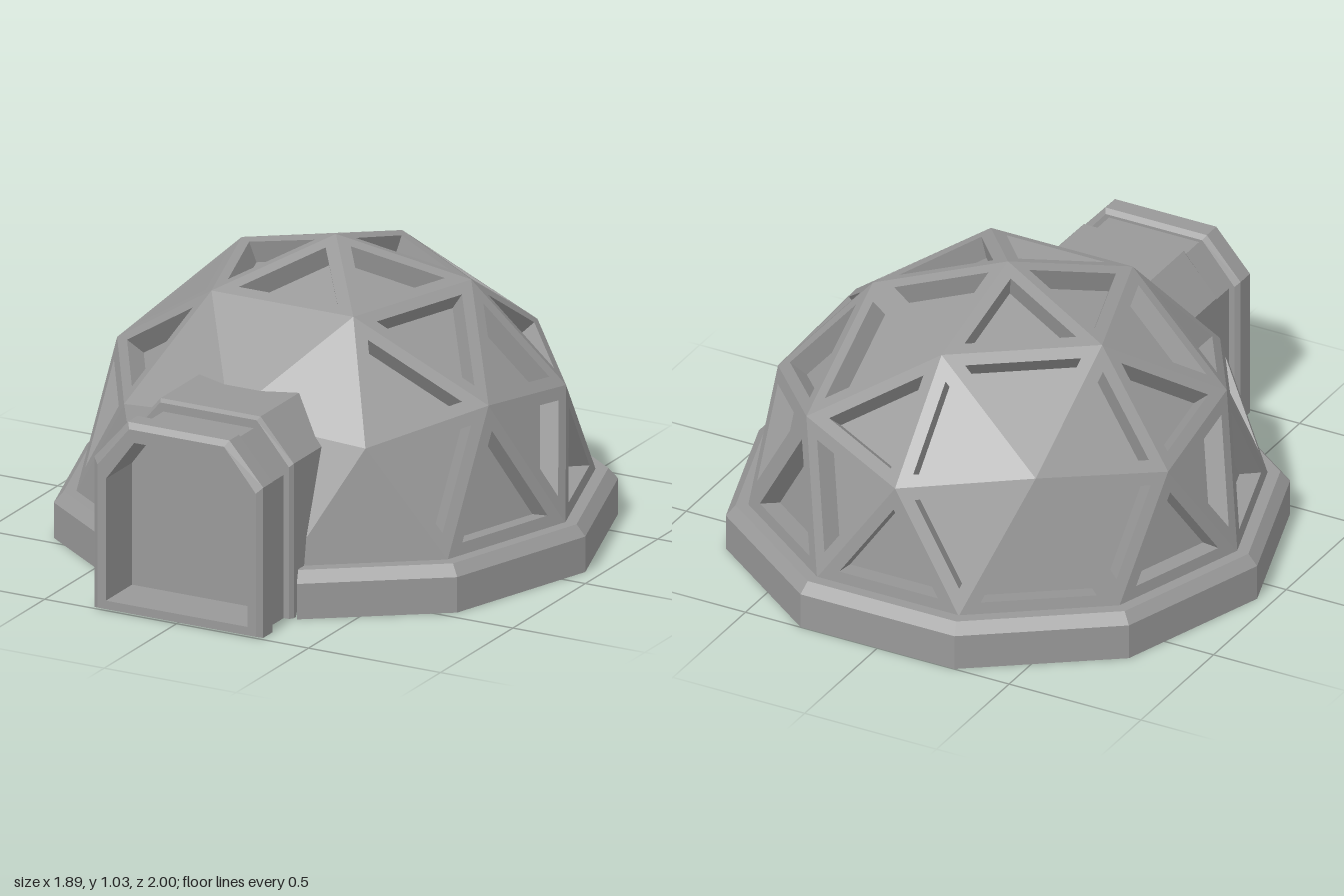
import * as THREE from 'three';

const CENTER_Z = -0.1, BASE_Y = 0.16, R = 0.87;

function material() {
  return new THREE.MeshStandardMaterial({ color: 0x999999, flatShading: true, side: THREE.DoubleSide });
}

// Mesh from a flat list of triangle corners
function meshFrom(points, name) {
  const geometry = new THREE.BufferGeometry().setFromPoints(points);
  geometry.computeVertexNormals();
  const mesh = new THREE.Mesh(geometry, material());
  mesh.name = name;
  return mesh;
}

function quad(out, a, b, c, d) {
  out.push(a, b, c, a, c, d);
}

// Point at an azimuth (degrees from the front), radius and height
function polar(deg, r, y) {
  const a = THREE.MathUtils.degToRad(deg);
  return new THREE.Vector3(Math.sin(a) * r, y, Math.cos(a) * r + CENTER_Z);
}

// Geodesic half sphere: an icosahedron with each face split in four
function domeTriangles() {
  const apex = new THREE.Vector3(0, BASE_Y + R, CENTER_Z);
  const upper = (a) => polar(a, 0.5257 * R, BASE_Y + 0.8507 * R);
  const corner = (a) => polar(a, 0.8944 * R, BASE_Y + 0.4472 * R);
  const middle = (a) => polar(a, 0.8507 * R, BASE_Y + 0.5257 * R);
  const foot = (a) => polar(a, R, BASE_Y);
  const list = [];
  for (let k = 0; k < 5; k++) {
    const a = 36 + 72 * k;
    list.push(
      [apex, upper(a), upper(a + 72)],
      [upper(a), middle(a + 36), upper(a + 72)],
      [upper(a), corner(a), middle(a + 36)],
      [upper(a), middle(a - 36), corner(a)],
      [corner(a), foot(a - 18), foot(a + 18)],
      [middle(a + 36), corner(a), foot(a + 18)],
      [middle(a + 36), foot(a + 18), foot(a + 54)],
      [middle(a + 36), foot(a + 54), corner(a + 72)]
    );
  }
  return list;
}

function buildDome(inset, depth) {
  const struts = [], panes = [], plain = [];
  for (const tri of domeTriangles()) {
    const nearDoor = tri.filter((p) => p.z > 0.6).length;
    if (nearDoor === 3) continue; // doorway
    if (nearDoor > 0) { plain.push(...tri); continue; }

    // Inset triangle about the incentre, then sink it along the normal
    const [a, b, c] = tri;
    const la = b.distanceTo(c), lb = c.distanceTo(a), lc = a.distanceTo(b);
    const sum = la + lb + lc;
    const incentre = new THREE.Vector3()
      .addScaledVector(a, la / sum).addScaledVector(b, lb / sum).addScaledVector(c, lc / sum);
    const face = new THREE.Triangle(a, b, c);
    const inradius = 2 * face.getArea() / sum;
    const normal = face.getNormal(new THREE.Vector3());
    const rim = tri.map((p) => p.clone().lerp(incentre, inset / inradius));
    const sunk = rim.map((p) => p.clone().addScaledVector(normal, -depth));
    for (let i = 0; i < 3; i++) {
      const j = (i + 1) % 3;
      quad(struts, tri[i], tri[j], rim[j], rim[i]);
      quad(struts, rim[i], rim[j], sunk[j], sunk[i]);
    }
    panes.push(...sunk);
  }
  const dome = new THREE.Group();
  dome.name = 'dome';
  dome.add(meshFrom(struts, 'struts'), meshFrom(panes, 'windowPanes'), meshFrom(plain, 'frontPanels'));
  return dome;
}

// Ten-sided foundation rim, cut short on both sides of the entrance
function buildBase() {
  const profile = [[0.945, 0], [0.945, 0.125], [0.912, 0.163], [0.85, 0.163]];
  const ringCorner = (k, r, y) => {
    const p = polar(18 + 36 * k, r, y);
    if (k === 0) p.lerp(polar(54, r, y), 0.08);
    if (k === 9) p.lerp(polar(-54, r, y), 0.08);
    return p;
  };
  const points = [];
  for (let k = 0; k < 9; k++) {
    for (let i = 0; i < profile.length - 1; i++) {
      const low = profile[i], high = profile[i + 1];
      quad(points, ringCorner(k, ...low), ringCorner(k + 1, ...low),
        ringCorner(k + 1, ...high), ringCorner(k, ...high));
    }
  }
  return meshFrom(points, 'baseRim');
}

// Arch outline with chamfered top corners; z may depend on height
function arch(w, h, z, bottom = 0) {
  const zAt = typeof z === 'function' ? z : () => z;
  return [[w, bottom], [w, h - 0.145], [w * 0.6, h], [-w * 0.6, h], [-w, h - 0.145], [-w, bottom]]
    .map(([x, y]) => new THREE.Vector3(x, y, zAt(y)));
}

function loft(sections, closed, name) {
  const points = [];
  for (let s = 0; s < sections.length - 1; s++) {
    const p = sections[s], q = sections[s + 1];
    const count = closed ? p.length : p.length - 1;
    for (let i = 0; i < count; i++) {
      const j = (i + 1) % p.length;
      quad(points, p[i], q[i], q[j], p[j]);
    }
  }
  return meshFrom(points, name);
}

function buildEntrance() {
  const group = new THREE.Group();
  group.name = 'entrance';
  const doorZ = 0.82;

  // Porch follows the dome slope at its back, then steps in to the neck
  group.add(loft([
    arch(0.315, 0.69, (y) => 0.75 - 0.42 * y),
    arch(0.315, 0.69, 0.765),
    arch(0.305, 0.68, 0.78),
    arch(0.285, 0.65, 0.78)
  ], false, 'porchTunnel'));

  // Neck and door frame with bevelled edges and a deep opening
  group.add(loft([
    arch(0.285, 0.65, 0.78),
    arch(0.285, 0.65, 0.905),
    arch(0.305, 0.66, 0.905),
    arch(0.32, 0.675, 0.92),
    arch(0.32, 0.675, 0.985),
    arch(0.3, 0.655, 1, 0.005),
    arch(0.268, 0.61, 1, 0.035),
    arch(0.268, 0.61, doorZ, 0.035)
  ], true, 'doorFrame'));

  const outline = arch(0.268, 0.61, 0, 0.035).map((p) => new THREE.Vector2(p.x, p.y));
  const door = new THREE.Mesh(new THREE.ShapeGeometry(new THREE.Shape(outline)), material());
  door.name = 'door';
  door.position.z = doorZ;
  group.add(door);
  return group;
}

export function createModel() {
  const model = new THREE.Group();
  model.name = 'geodesicDome';
  model.add(buildDome(0.043, 0.075), buildBase(), buildEntrance());
  return model;
}
